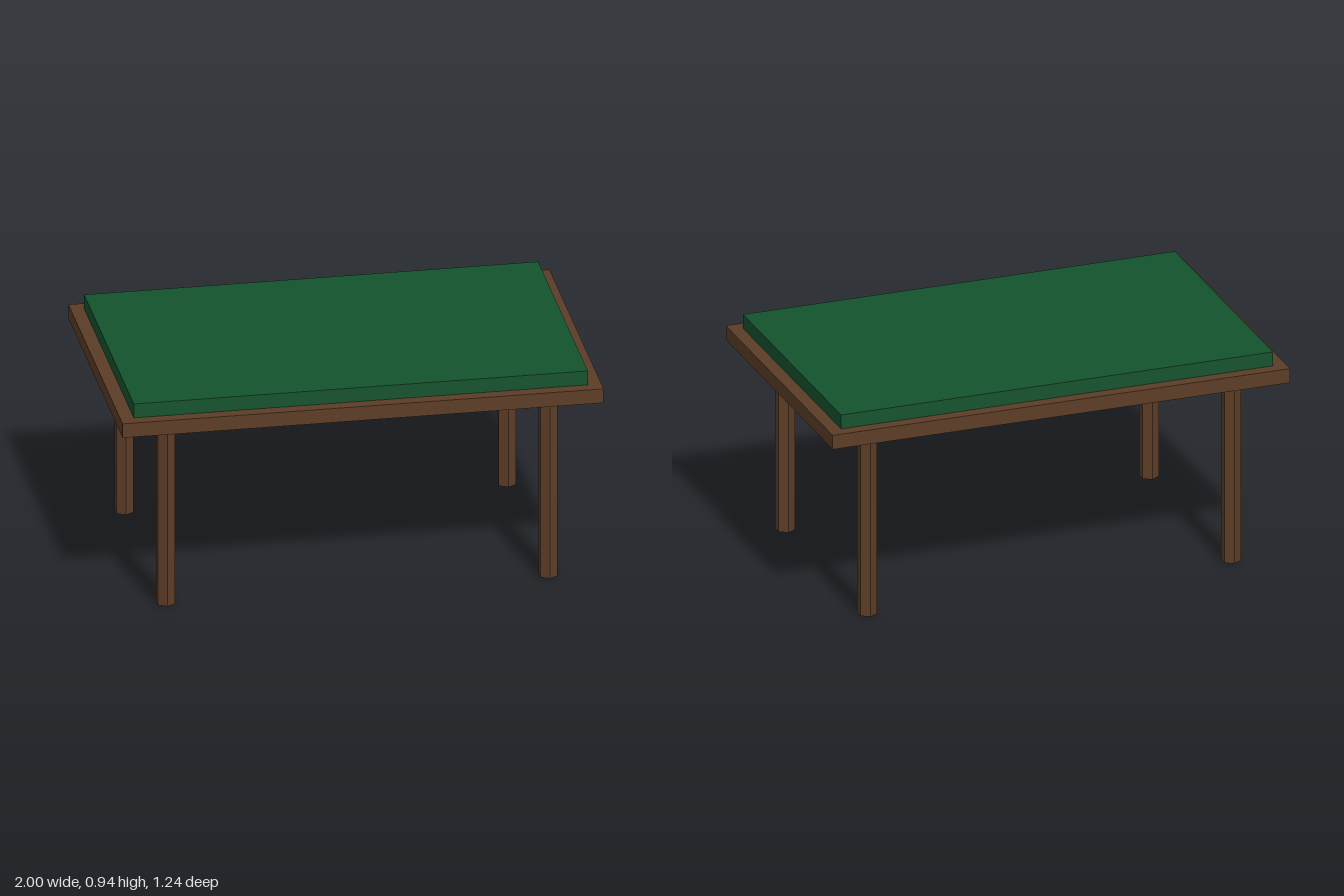
import * as THREE from 'three';

export function createModel() {
  const model = new THREE.Group();
  model.name = 'table';
  const wood = new THREE.MeshStandardMaterial({ color: 0x5c3d26, flatShading: true });
  const felt = new THREE.MeshStandardMaterial({ color: 0x14532d, flatShading: true });

  const add = (name, geometry, material, x, y, z) => {
    const mesh = new THREE.Mesh(geometry, material);
    mesh.name = name;
    mesh.position.set(x, y, z);
    model.add(mesh);
  };

  // Wooden top with the raised green playing surface
  add('tableTop', new THREE.BoxGeometry(2, 0.0625, 1.24), wood, 0, 0.844, 0);
  add('playingSurface', new THREE.BoxGeometry(1.888, 0.0625, 1.136), felt, 0, 0.906, 0);

  // Four six-sided legs, corners pointing front and back
  const legHeight = 0.8125;
  const legGeometry = new THREE.CylinderGeometry(0.0415, 0.0415, legHeight, 6);
  for (const [side, sx] of [['Left', 1], ['Right', -1]]) {
    for (const [end, sz] of [['front', 1], ['back', -1]]) {
      add(`${end}${side}Leg`, legGeometry, wood, sx * 0.795, legHeight / 2, sz * 0.475);
    }
  }
  return model;
}
